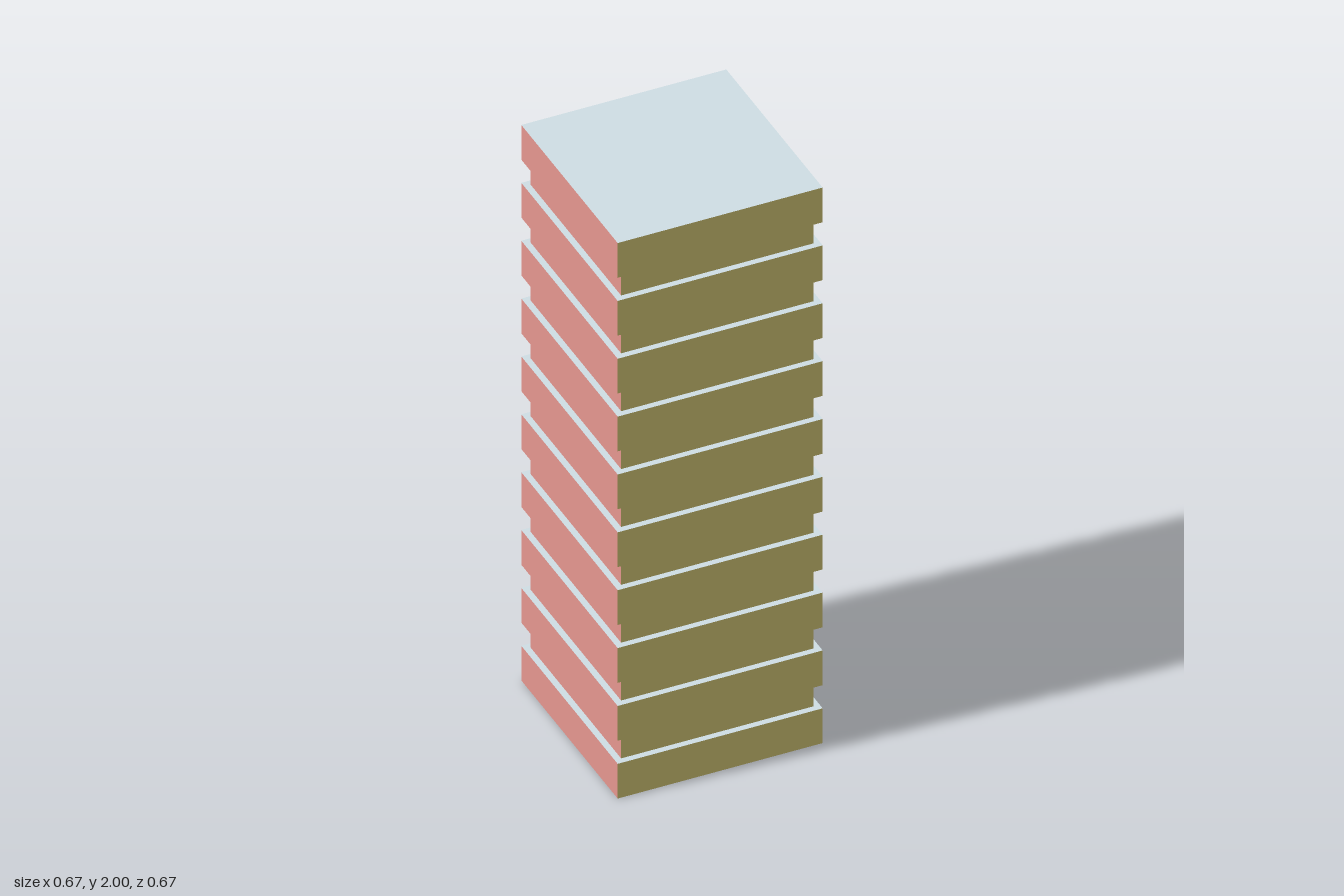
import * as THREE from 'three';

const SLABS = 10;
const UNIT = 2 / 48; // whole stack is 48 units tall
const SLAB_H = 3 * UNIT, GAP_H = 2 * UNIT;
const SLAB_W = 16 * UNIT, SPACER_W = 15 * UNIT;

function material(name, color) {
  const m = new THREE.MeshStandardMaterial({ color });
  m.name = name;
  return m;
}

export function createModel() {
  const model = new THREE.Group();
  model.name = 'slabStack';

  // One colour per direction: +x, -x, +y, -y, +z, -z
  const sides = [
    material('mintGreen', 0x6efea5),
    material('salmonPink', 0xfca69e),
    material('paleWhiteBlue', 0xe2f3fa),
    material('slateGrey', 0x6a7383),
    material('softYellow', 0xfaea8c),
    material('skyBlue', 0x78cdfd),
  ];

  function block(name, width, height, bottom) {
    const mesh = new THREE.Mesh(new THREE.BoxGeometry(width, height, width), sides);
    mesh.name = name;
    mesh.position.y = bottom + height / 2;
    model.add(mesh);
  }

  // Wide slabs alternate with slightly narrower spacers
  for (let i = 0; i < SLABS; i++) {
    const y = i * (SLAB_H + GAP_H);
    block(`slab${i + 1}`, SLAB_W, SLAB_H, y);
    if (i < SLABS - 1) block(`spacer${i + 1}`, SPACER_W, GAP_H, y + SLAB_H);
  }

  return model;
}
